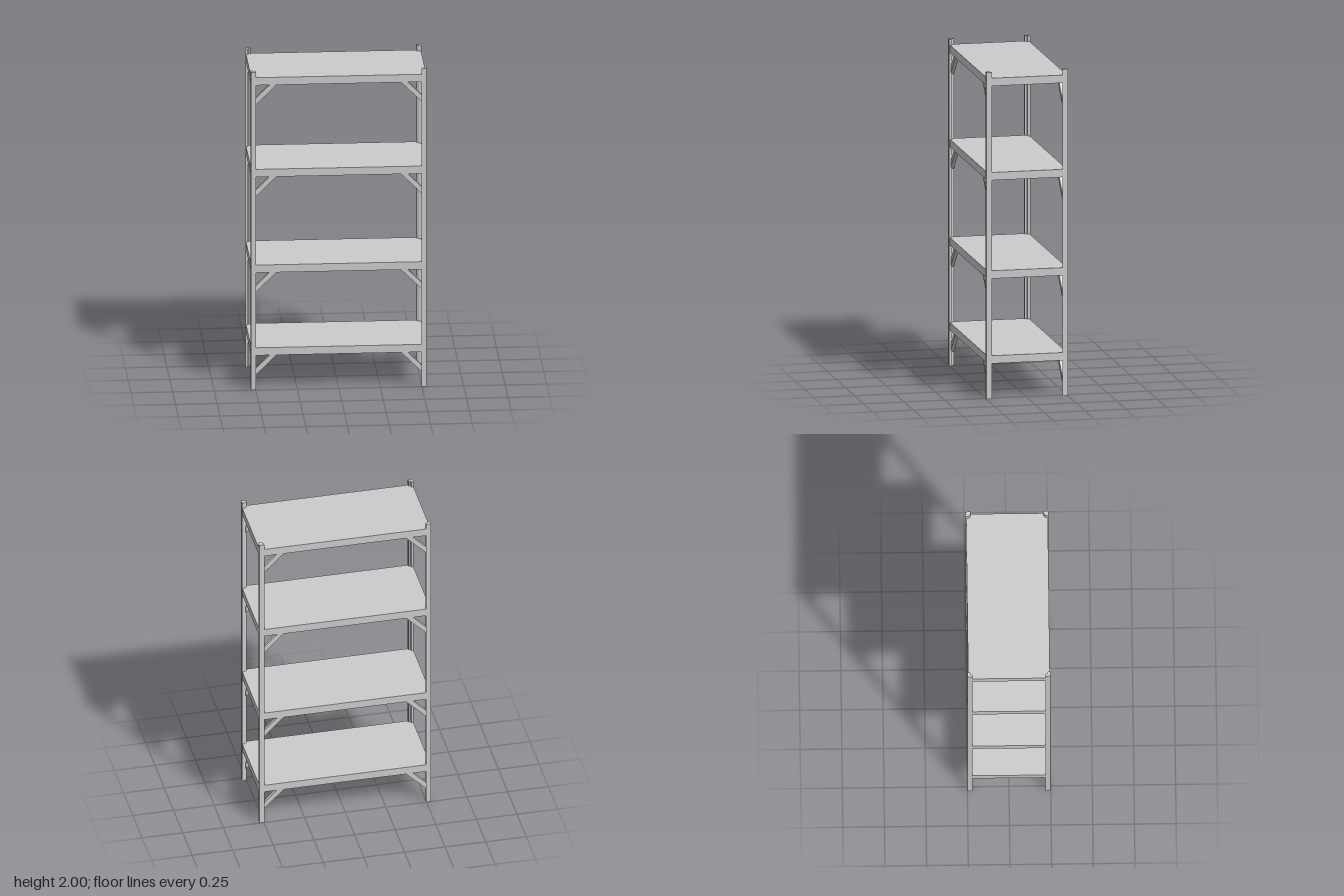
import * as THREE from 'three';

const HX = 0.528, HZ = 0.25, POST = 0.03, SHELF_H = 0.048;
const material = new THREE.MeshStandardMaterial({ color: 0xcccccc, flatShading: true });

const shapeOf = (points) => new THREE.Shape(points.map(([x, y]) => new THREE.Vector2(x, y)));

function addMesh(parent, geometry, name) {
  const mesh = new THREE.Mesh(geometry, material);
  mesh.name = name;
  parent.add(mesh);
  return mesh;
}

// Post sections as insets from the outer corner: notched angle and chamfered square
const ANGLE = [[0, 0], [POST, 0], [POST, 0.013], [0.027, 0.018], [0.018, 0.02], [0.015, 0.024], [0.014, 0.032], [0, 0.032]];
const CHAMFERED = [[0, 0], [POST, 0], [POST, 0.016], [0.025, 0.025], [0.015, 0.031], [0, 0.032]];

function postGeometry(sx, sz) {
  const section = sx < 0 ? ANGLE : CHAMFERED;
  const shape = shapeOf(section.map(([a, b]) => [sx * (HX - a), -sz * (HZ - b)]));
  return new THREE.ExtrudeGeometry(shape, { depth: 2, bevelEnabled: false }).rotateX(-Math.PI / 2);
}

// Diagonal strut from the post up to the underside of a shelf
function braceGeometry(sx, sz, top) {
  const shape = shapeOf([
    [sx * 0.505, top - 0.131], [sx * 0.373, top],
    [sx * 0.415, top], [sx * 0.505, top - 0.09],
  ]);
  const depth = 0.022;
  return new THREE.ExtrudeGeometry(shape, { depth, bevelEnabled: false })
    .translate(0, 0, sz * 0.229 - depth / 2);
}

export function createModel() {
  const model = new THREE.Group();
  model.name = 'shelvingUnit';
  const corners = [[-1, -1], [1, -1], [-1, 1], [1, 1]];

  // Corner posts
  for (const [sx, sz] of corners) addMesh(model, postGeometry(sx, sz), 'post');

  // Shelves with four braces each
  for (const bottom of [0.217, 0.737, 1.339, 1.916]) {
    const level = new THREE.Group();
    level.name = 'shelfLevel';
    model.add(level);
    const board = addMesh(level, new THREE.BoxGeometry(2 * HX - 0.003, SHELF_H, 0.49), 'shelf');
    board.position.y = bottom + SHELF_H / 2;
    for (const [sx, sz] of corners) addMesh(level, braceGeometry(sx, sz, bottom), 'brace');
  }
  return model;
}
